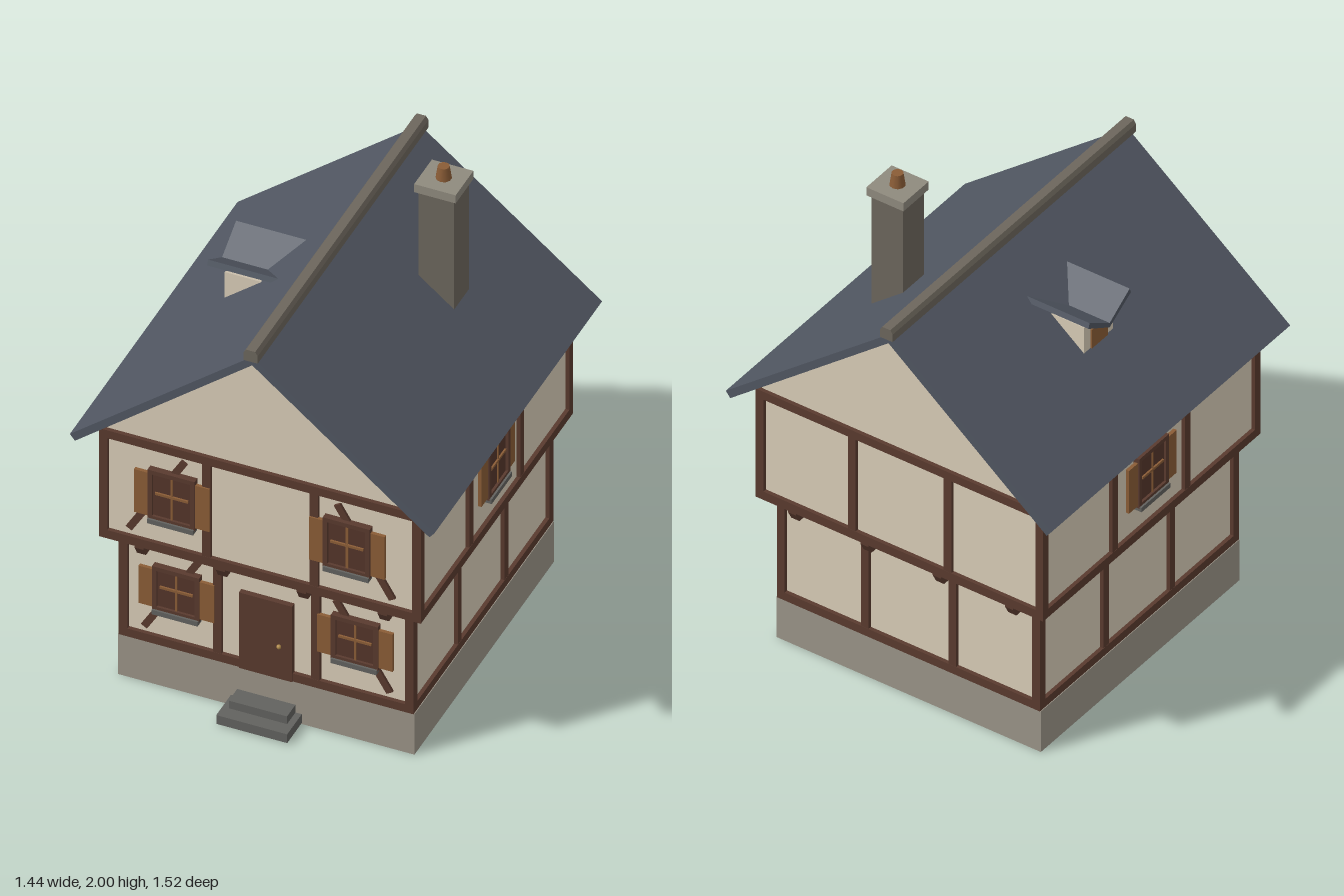
import * as THREE from 'three';

const mat = (name, color) => {
  const m = new THREE.MeshStandardMaterial({ color });
  m.name = name;
  return m;
};

export function createModel() {
  const plaster = mat('plaster', 0xd8ccb7);
  const timber = mat('timber', 0x593a2e);
  const pane = mat('windowPane', 0x54352a);
  const wood = mat('lightWood', 0x8a5c36);
  const slate = mat('slate', 0x505661);
  const stone = mat('foundationStone', 0x9a9387);
  const darkStone = mat('chimneyStone', 0x6c665c);
  const capStone = mat('capStone', 0x8f8a7e);
  const sillGrey = mat('sillGrey', 0x62625f);
  const brass = mat('brass', 0xb08a4a);

  const house = new THREE.Group();
  house.name = 'house';

  const add = (parent, name, geo, m, x = 0, y = 0, z = 0) => {
    const mesh = new THREE.Mesh(geo, m);
    mesh.name = name;
    mesh.position.set(x, y, z);
    parent.add(mesh);
    return mesh;
  };
  const box = (parent, name, m, w, h, d, x, y, z) =>
    add(parent, name, new THREE.BoxGeometry(w, h, d), m, x, y, z);
  // Prism along z, centred on z = 0
  const prism = (pts, depth) => new THREE.ExtrudeGeometry(
    new THREE.Shape(pts.map(p => new THREE.Vector2(...p))), { depth, bevelEnabled: false }
  ).translate(0, 0, -depth / 2);

  // Foundation and entrance steps
  box(house, 'foundation', stone, 1.17, 0.185, 1.24, 0, 0.0925, 0);
  box(house, 'lowerStep', sillGrey, 0.28, 0.04, 0.15, 0, 0.025, 0.675);
  box(house, 'upperStep', sillGrey, 0.23, 0.035, 0.1, 0, 0.0625, 0.645);

  // One storey: plaster core, sill and head rails, posts dividing each side in three
  const storey = (name, hx, hz, y0, y1, rail0, rail1) => {
    const g = new THREE.Group();
    g.name = name;
    house.add(g);
    const t = 0.034, inset = 0.016, h = y1 - y0, cy = (y0 + y1) / 2;
    box(g, 'walls', plaster, 2 * (hx - inset), h - 0.01, 2 * (hz - inset), 0, cy, 0);
    for (const [y, r] of [[y0 + rail0 / 2, rail0], [y1 - rail1 / 2, rail1]]) {
      for (const s of [-1, 1]) {
        box(g, 'rail', timber, 2 * hx, r, t, 0, y, s * (hz - t / 2));
        box(g, 'rail', timber, t, r, 2 * hz - 2 * t, s * (hx - t / 2), y, 0);
      }
    }
    const ph = h - rail0 - rail1, py = y0 + rail0 + ph / 2;
    for (const s of [-1, 1]) {
      for (const k of [-1, 1]) {
        box(g, 'cornerPost', timber, t, ph, t, s * (hx - t / 2), py, k * (hz - t / 2));
        box(g, 'post', timber, t, ph, t, k * (hx / 3), py, s * (hz - t / 2 - 0.001));
        box(g, 'post', timber, t, ph, t, s * (hx - t / 2 - 0.001), py, k * (hz / 3));
      }
    }
    return g;
  };
  storey('groundFloor', 0.582, 0.622, 0.185, 0.656, 0.036, 0.03);
  storey('upperFloor', 0.636, 0.678, 0.656, 1.15, 0.038, 0.036);

  // Tapered brackets carrying the overhang, front and back
  const bracketShape = prism([[0, 0], [0.055, 0], [0.055, -0.015], [0.035, -0.052], [0, -0.052]], 0.036);
  for (const s of [-1, 1]) {
    for (const x of [-0.48, -0.16, 0.16, 0.48]) {
      add(house, 'bracket', bracketShape, timber, x, 0.656, s * 0.615).rotation.y = -s * Math.PI / 2;
    }
  }

  // Shuttered window facing +z
  const shutteredWindow = (name, h, x, y, z, turn = 0) => {
    const g = new THREE.Group();
    g.name = name;
    const w = 0.186, b = 0.018;
    box(g, 'pane', pane, w - b, h - b, 0.016, 0, 0, 0.008);
    for (const s of [-1, 1]) {
      box(g, 'frameSide', timber, b, h, 0.026, s * (w - b) / 2, 0, 0.013);
      box(g, 'frameRail', timber, w - 2 * b, b, 0.026, 0, s * (h - b) / 2, 0.013);
      box(g, 'shutter', wood, 0.056, h - 0.03, 0.014, s * (w / 2 + 0.028), -0.005, 0.013);
    }
    box(g, 'muntin', wood, 0.008, h - 2 * b, 0.006, 0, 0, 0.018);
    box(g, 'muntin', wood, w - 2 * b - 0.02, 0.01, 0.008, 0, 0.008, 0.019);
    box(g, 'sill', sillGrey, w - 0.005, 0.02, 0.034, 0, -h / 2 - 0.004, 0.017);
    g.position.set(x, y, z);
    g.rotation.y = turn;
    house.add(g);
  };
  // Diagonal brace between two points on the front wall
  const brace = (x0, y0, x1, y1, z) => {
    const m = box(house, 'brace', timber, 0.028, Math.hypot(x1 - x0, y1 - y0), 0.018,
      (x0 + x1) / 2, (y0 + y1) / 2, z);
    m.rotation.z = -Math.atan2(x1 - x0, y1 - y0);
  };
  for (const s of [-1, 1]) {
    shutteredWindow('upperFrontWindow', 0.225, s * 0.346, 0.918, 0.663);
    shutteredWindow('lowerFrontWindow', 0.2, s * 0.353, 0.447, 0.607);
    shutteredWindow('sideWindow', 0.225, s * 0.621, 0.918, 0, s * Math.PI / 2);
    brace(s * 0.52, 0.725, s * 0.302, 1.09, 0.664);
    brace(s * 0.485, 0.248, s * 0.272, 0.603, 0.608);
  }

  // Front door
  box(house, 'door', timber, 0.21, 0.345, 0.03, 0, 0.358, 0.613);
  add(house, 'doorKnob', new THREE.SphereGeometry(0.009, 10, 8), brass, 0.055, 0.335, 0.633);

  // Gables with a thin rafter edge
  const gable = [[-0.62, 1.145], [0.62, 1.145], [0.62, 1.185], [0, 1.685], [-0.62, 1.185]];
  add(house, 'gable', prism(gable, 1.324), plaster);
  const rafter = [[0, 1.687], [-0.66, 1.155], [-0.66, 1.137], [0, 1.669], [0.66, 1.137], [0.66, 1.155]];
  for (const s of [-1, 1]) add(house, 'gableRafter', prism(rafter, 0.02), timber, 0, 0, s * 0.667);

  // Main roof and ridge cap
  const roof = [[0, 1.725], [-0.72, 1.145], [-0.7, 1.12], [0, 1.686], [0.7, 1.12], [0.72, 1.145]];
  add(house, 'roof', prism(roof, 1.492), slate);
  const ridge = [[-0.028, 1.712], [0.028, 1.712], [0.028, 1.746], [0.018, 1.762], [-0.018, 1.762], [-0.028, 1.746]];
  add(house, 'ridgeCap', prism(ridge, 1.52), darkStone);

  // Chimney
  box(house, 'chimneyStack', darkStone, 0.14, 0.56, 0.13, 0.32, 1.635, -0.238);
  box(house, 'chimneyCap', capStone, 0.164, 0.037, 0.158, 0.32, 1.928, -0.238);
  add(house, 'chimneyPot', new THREE.CylinderGeometry(0.022, 0.03, 0.055, 10), wood, 0.32, 1.9725, -0.238);

  // Dormer with an inward-sloping roof, facing -x; prisms are turned so depth runs along x
  const dormer = new THREE.Group();
  dormer.name = 'dormer';
  house.add(dormer);
  const body = [[-0.09, 1.36], [0.09, 1.36], [0.09, 1.52], [0, 1.487], [-0.09, 1.52]];
  add(dormer, 'dormerWalls', prism(body, 0.24), plaster, -0.28).rotation.y = Math.PI / 2;
  const vRoof = [[0, 1.488], [0.133, 1.565], [0.125, 1.586], [0, 1.508], [-0.125, 1.586], [-0.133, 1.565]];
  add(dormer, 'dormerRoof', prism(vRoof, 0.29), slate, -0.305).rotation.y = Math.PI / 2;
  box(dormer, 'dormerWindow', wood, 0.009, 0.085, 0.1, -0.402, 1.445, 0);

  return house;
}
